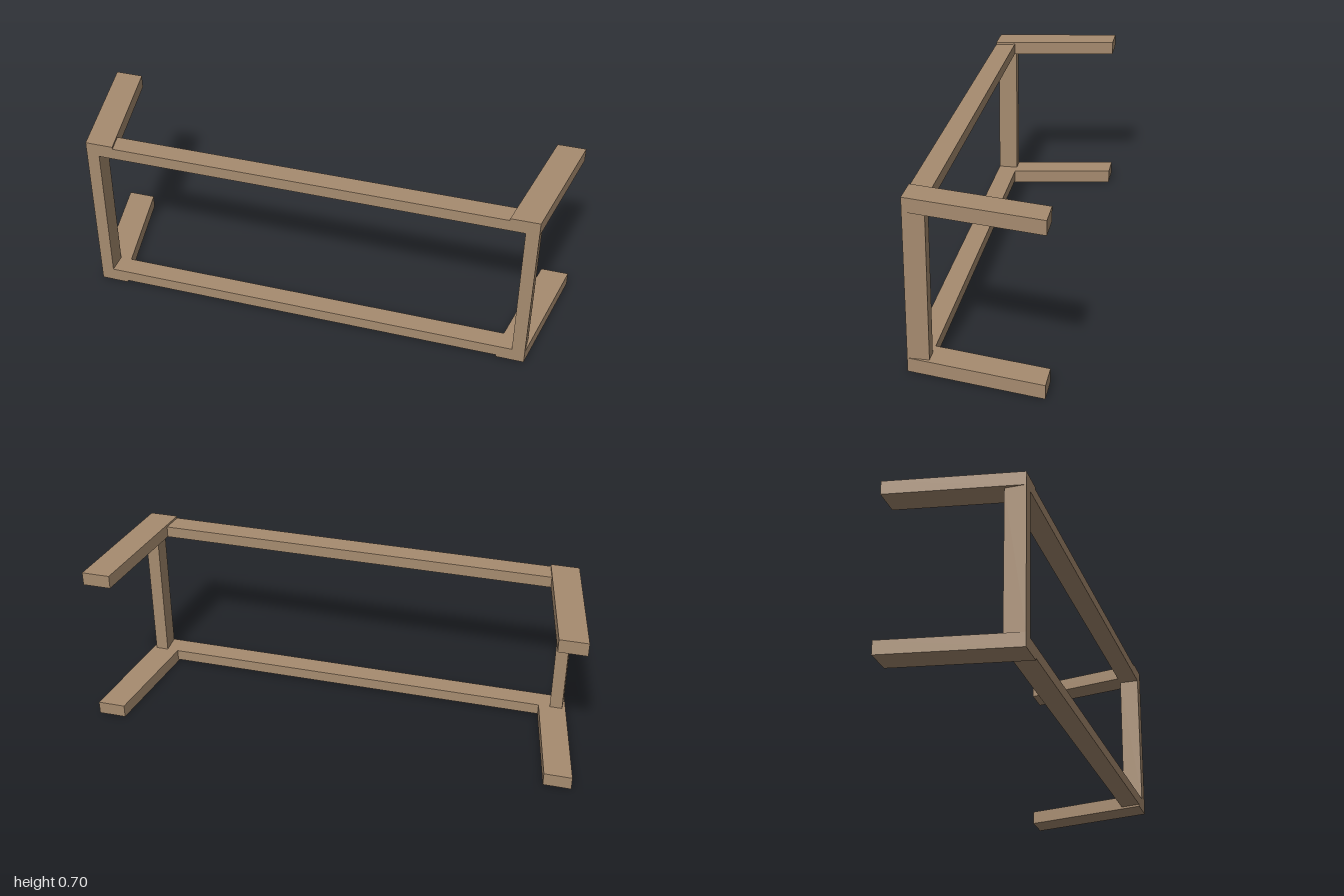
import * as THREE from 'three';

const wood = new THREE.MeshStandardMaterial({ color: 0xa68b6f, flatShading: true });

// Vertical prism from a plan outline of [x, z] corners, between two heights
function prism(name, plan, y0, y1) {
  const shape = new THREE.Shape(plan.map(([x, z]) => new THREE.Vector2(x, -z)));
  const geo = new THREE.ExtrudeGeometry(shape, { depth: y1 - y0, bevelEnabled: false });
  geo.rotateX(-Math.PI / 2).translate(0, y0, 0);
  const mesh = new THREE.Mesh(geo, wood);
  mesh.name = name;
  return mesh;
}

export function createModel() {
  const group = new THREE.Group();
  group.name = 'frame';
  const front = 0.262, back = -0.262, railBack = 0.179;
  const height = 0.7, armH = 0.056, railInset = 0.009;

  // Long rails, slightly thinner than the arms, with ends mitred against them
  const railPlan = [[-0.793, front], [0.793, front], [0.808, railBack], [-0.808, railBack]];
  group.add(prism('bottomRail', railPlan, railInset, armH));
  group.add(prism('topRail', railPlan, height - armH, height - railInset));

  for (const [side, s] of [['left', 1], ['right', -1]]) {
    // Splayed arms running to the back
    const armPlan = [[0.793, front], [0.907, front], [1, back], [0.887, back]].map(([x, z]) => [s * x, z]);
    group.add(prism(side + 'BottomArm', armPlan, 0, armH));
    group.add(prism(side + 'TopArm', armPlan, height - armH, height));

    // Upright post at the front corner
    const postPlan = [[0.855, front], [0.907, front], [0.907, railBack], [0.855, railBack]].map(([x, z]) => [s * x, z]);
    group.add(prism(side + 'Post', postPlan, armH, height - armH));
  }
  return group;
}
